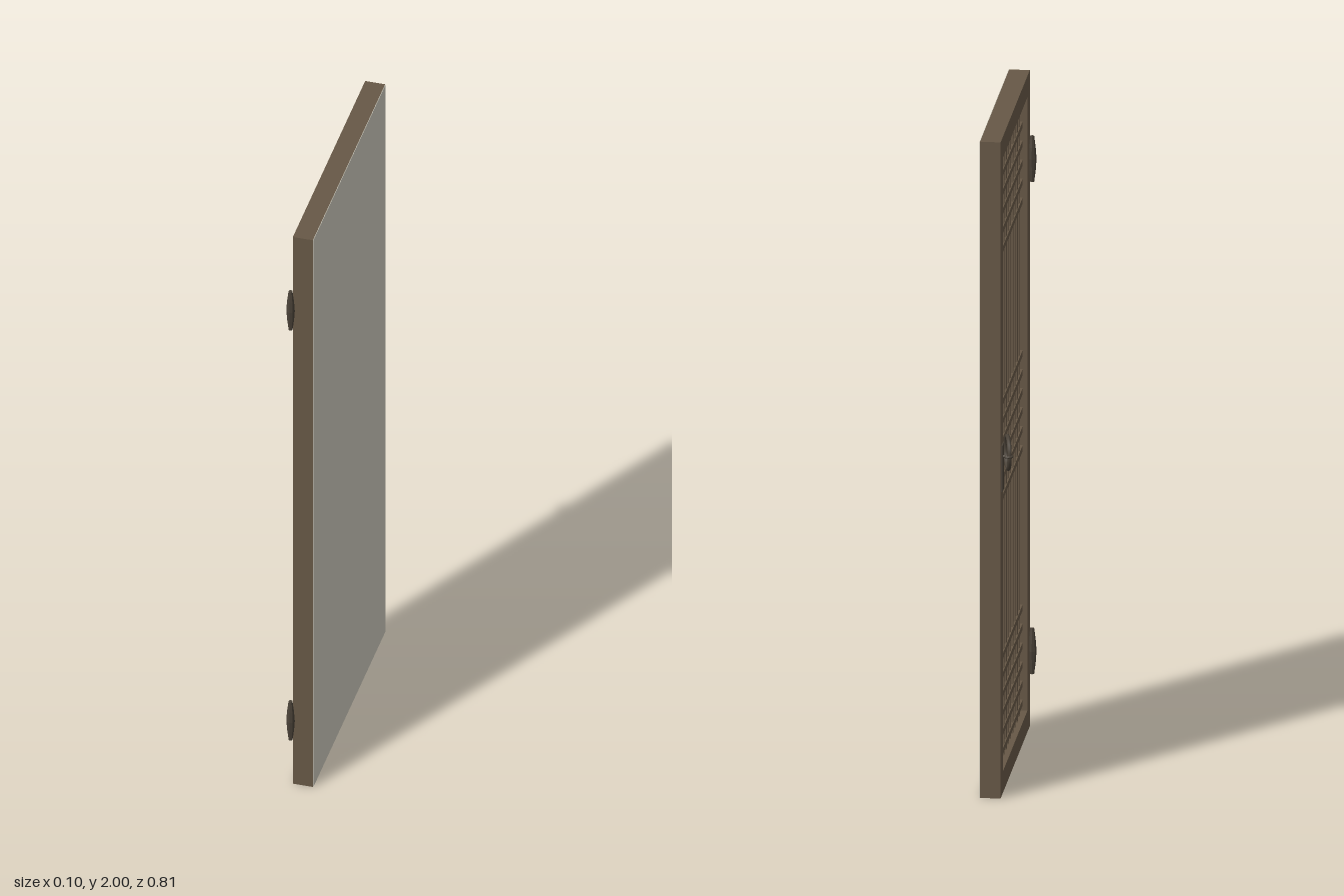
import * as THREE from 'three';

const mat = (name, color, side = THREE.FrontSide) => {
  const m = new THREE.MeshStandardMaterial({ color, side });
  m.name = name;
  return m;
};

export function createModel() {
  const wood = mat('darkWood', 0x675846);
  const paper = mat('paper', 0xcac7ba, THREE.DoubleSide);
  const iron = mat('iron', 0x4a4238);
  const door = new THREE.Group();
  door.name = 'latticeDoor';

  const add = (name, geo, material, parent = door) => {
    const m = new THREE.Mesh(geo, material);
    m.name = name;
    parent.add(m);
    return m;
  };
  // box given by its limits on each axis
  const box = (name, x0, x1, y0, y1, z0, z1, material, parent) =>
    add(name, new THREE.BoxGeometry(x1 - x0, y1 - y0, z1 - z0), material, parent)
      .position.set((x0 + x1) / 2, (y0 + y1) / 2, (z0 + z1) / 2);

  const xOut = -0.014, xIn = 0.047, zA = -0.405, zB = 0.392, w = 0.065;

  // outer frame
  const frame = new THREE.Group();
  frame.name = 'frame';
  door.add(frame);
  box('latchStile', xOut, xIn, 0, 2, zA, zA + w, wood, frame);
  box('hingeStile', xOut, xIn, 0, 2, zB - w, zB, wood, frame);
  box('bottomRail', xOut, xIn, 0, w, zA + w, zB - w, wood, frame);
  box('topRail', xOut, xIn, 2 - w, 2, zA + w, zB - w, wood, frame);

  // paper sheet covering the whole inner side
  box('paperSheet', xIn, 0.0485, 0, 2, zA, zB, paper);

  // lattice: full-height uprights and three bands of cross bars
  const lattice = new THREE.Group();
  lattice.name = 'lattice';
  door.add(lattice);
  const half = 0.009, pitch = (zB - zA - 2 * w) / 11;
  for (let i = 1; i <= 10; i++) {
    const z = zA + w + i * pitch;
    box('upright', 0.002, xIn, w, 2 - w, z - half, z + half, wood, lattice);
  }
  for (const base of [0.09, 0.865, 1.62]) {
    for (let i = 0; i < 6; i++) {
      const y = base + i * 0.058;
      box('crossBar', 0, xIn, y - half, y + half, zA + w, zB - w, wood, lattice);
    }
  }

  // spindle-shaped hinges
  const profile = [[0, -0.07], [0.006, -0.07], [0.0105, -0.035], [0.013, 0], [0.0105, 0.035], [0.006, 0.07], [0, 0.07]]
    .map(([r, y]) => new THREE.Vector2(r, y));
  const hingeGeo = new THREE.LatheGeometry(profile, 8).toNonIndexed();
  hingeGeo.computeVertexNormals();
  for (const y of [0.23, 1.73]) add('hinge', hingeGeo, iron).position.set(-0.021, y, 0.392);

  // pull ring hanging from an eye bolt on a small plate
  const handle = new THREE.Group();
  handle.name = 'handle';
  door.add(handle);
  box('handlePlate', -0.018, xOut, 0.93, 1.07, -0.39, -0.352, iron, handle);
  const shank = add('eyeShank', new THREE.CylinderGeometry(0.004, 0.004, 0.016, 8), iron, handle);
  shank.rotation.z = Math.PI / 2;
  shank.position.set(-0.021, 1.033, -0.37);
  const eye = add('eye', new THREE.TorusGeometry(0.0105, 0.0035, 8, 16), iron, handle);
  eye.rotation.x = Math.PI / 2;
  eye.position.set(-0.034, 1.033, -0.37);
  const ring = add('pullRing', new THREE.TorusGeometry(0.0485, 0.0065, 8, 28), iron, handle);
  ring.rotation.y = Math.PI / 2 + Math.atan2(-0.022, -0.1) + Math.PI + 0.436;
  ring.position.set(-0.026, 1.033, -0.323);
  // turn the ring so its far side rests against the door
  ring.rotation.set(0, -Math.atan2(0.097, 0.022), 0);

  return door;
}
